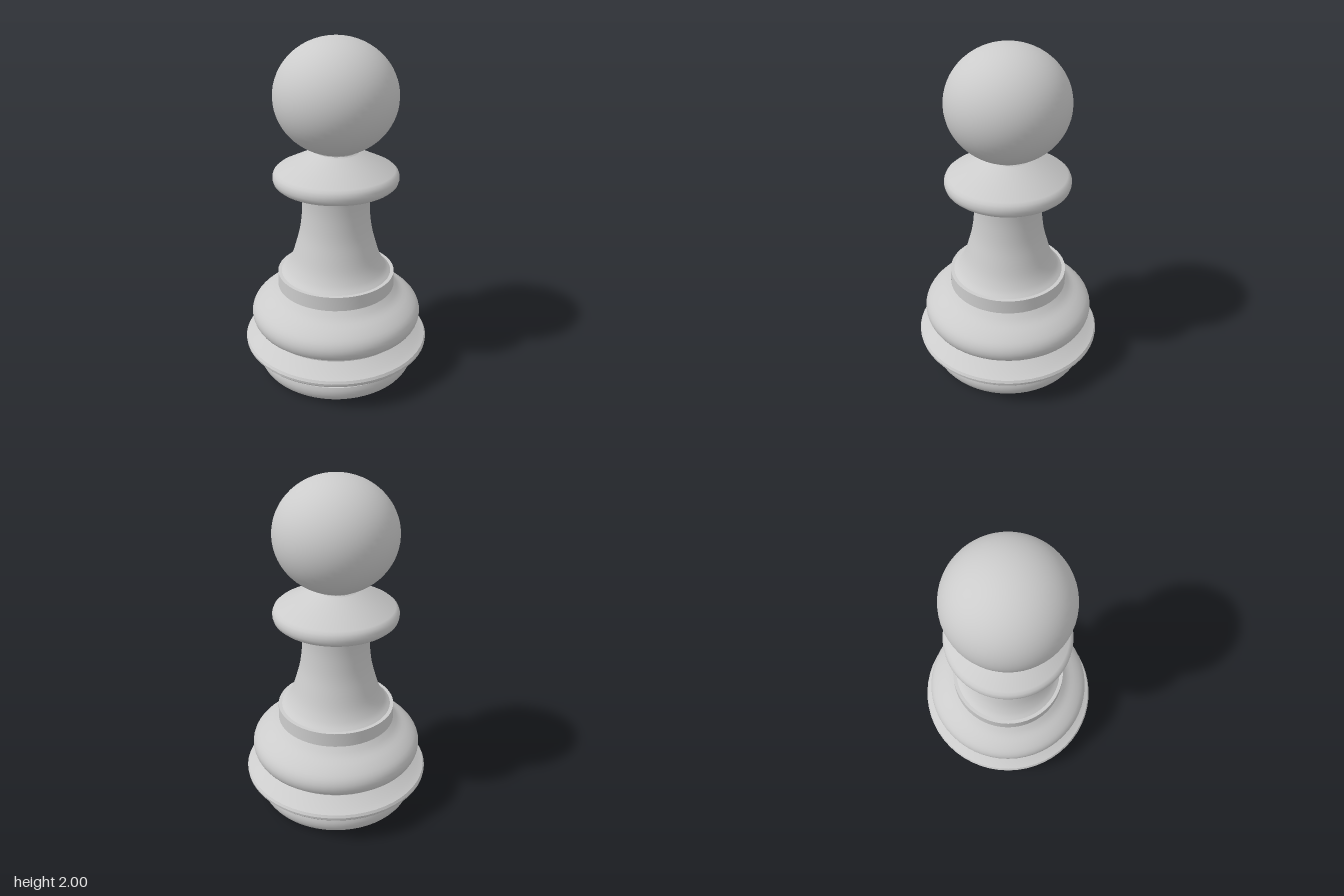
import * as THREE from 'three';
import { toCreasedNormals } from 'three/addons/utils/BufferGeometryUtils.js';

const SEGMENTS = 56;
const material = new THREE.MeshStandardMaterial({ color: 0xcccccc });

// Turned part: profile is [radius, height] pairs from bottom to top
function turned(name, profile) {
  const points = profile.map(([r, y]) => new THREE.Vector2(r, y));
  const geometry = toCreasedNormals(new THREE.LatheGeometry(points, SEGMENTS), 0.6);
  const mesh = new THREE.Mesh(geometry, material);
  mesh.name = name;
  return mesh;
}

// Smooth curve through a few profile points
function smooth(profile, steps) {
  const curve = new THREE.SplineCurve(profile.map(([r, y]) => new THREE.Vector2(r, y)));
  return curve.getPoints(steps).map((p) => [p.x, p.y]);
}

export function createModel() {
  const group = new THREE.Group();
  group.name = 'pawn';

  // Foot with a rounded lower edge
  group.add(turned('foot', [
    [0, 0], ...smooth([[0.42, 0], [0.452, 0.018], [0.472, 0.05], [0.478, 0.085], [0.473, 0.115]], 10), [0, 0.115],
  ]));

  // Flange with a narrow rounded rim
  group.add(turned('baseFlange', [
    [0.455, 0.113], [0.54, 0.173], [0.551, 0.185], [0.553, 0.2], [0.545, 0.215], [0.51, 0.233], [0.45, 0.28], [0.45, 0.296],
  ]));

  // Bulging shoulder
  group.add(turned('shoulder', [
    [0.43, 0.295],
    ...smooth([[0.455, 0.296], [0.493, 0.32], [0.508, 0.37], [0.492, 0.42], [0.445, 0.465], [0.385, 0.505], [0.347, 0.545]], 18),
  ]));

  // Collar at the foot of the stem
  group.add(turned('stemCollar', [[0.347, 0.54], [0.345, 0.63], [0.28, 0.632]]));

  // Flared stem
  group.add(turned('stem', smooth([
    [0.325, 0.63], [0.295, 0.66], [0.262, 0.72], [0.233, 0.81], [0.21, 0.9],
    [0.197, 1.0], [0.194, 1.08], [0.2, 1.15], [0.225, 1.182],
  ], 28)));

  // Disc under the head, with a rounded rim and sloped top
  group.add(turned('neckDisc', [
    [0.19, 1.18], [0.335, 1.18], [0.352, 1.195], [0.358, 1.215], [0.358, 1.235], [0.35, 1.255], [0.335, 1.268],
    [0.13, 1.37],
  ]));

  // Short neck
  group.add(turned('neck', [[0.135, 1.366], [0.123, 1.376], [0.123, 1.4]]));

  // Ball head
  const head = new THREE.Mesh(new THREE.SphereGeometry(0.344, SEGMENTS, 32), material);
  head.name = 'head';
  head.scale.y = 0.32 / 0.344;
  head.position.y = 1.68;
  group.add(head);

  return group;
}
